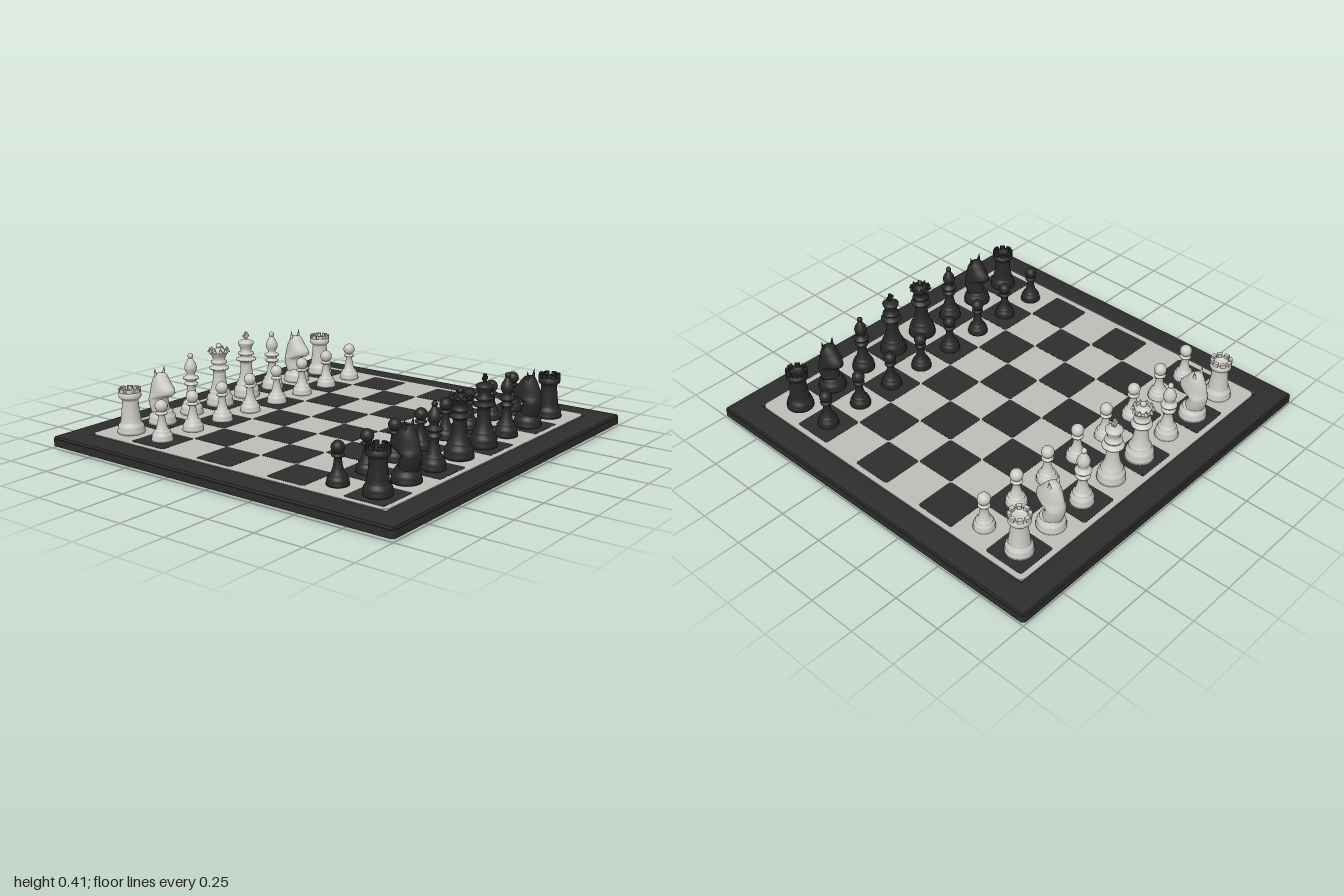
import * as THREE from 'three';

const mat = (name, color) => {
  const m = new THREE.MeshStandardMaterial({ color });
  m.name = name;
  return m;
};

const TOP = 0.062, PITCH = 0.2095;
const cell = i => (i - 3.5) * PITCH;

function mesh(name, geometry, material, x = 0, y = 0, z = 0) {
  const m = new THREE.Mesh(geometry, material);
  m.name = name;
  m.position.set(x, y, z);
  return m;
}

// Flat rounded square lying on the ground, extruded upwards
function slab(half, r, height) {
  const s = new THREE.Shape(), c = half - r;
  s.absarc(c, c, r, 0, Math.PI / 2);
  s.absarc(-c, c, r, Math.PI / 2, Math.PI);
  s.absarc(-c, -c, r, Math.PI, Math.PI * 1.5);
  s.absarc(c, -c, r, Math.PI * 1.5, Math.PI * 2);
  return new THREE.ExtrudeGeometry(s, { depth: height, bevelEnabled: false, curveSegments: 5 }).rotateX(-Math.PI / 2);
}

const turned = pts => new THREE.LatheGeometry(pts.map(p => new THREE.Vector2(p[0], p[1])), 28);

// Moulded foot shared by the pieces: r is its radius, h its height, neck the radius above
const foot = (r, h, neck) => [
  [0, 0], [r, 0], [r, h * 0.2], [r * 0.93, h * 0.3], [r * 0.96, h * 0.42], [r * 0.9, h * 0.6],
  [r * 0.74, h * 0.75], [r * 0.78, h * 0.83], [r * 0.72, h * 0.9], [neck, h]];

// Knight neck and head: lens-shaped sections [y, back z, front z, half width]
function knightBody() {
  const rows = [
    [0.04, -0.045, 0.045, 0.045], [0.06, -0.058, 0.045, 0.05], [0.09, -0.068, 0.032, 0.052],
    [0.12, -0.072, 0.026, 0.053], [0.135, -0.072, 0.035, 0.053], [0.145, -0.071, 0.07, 0.052],
    [0.16, -0.069, 0.087, 0.05], [0.18, -0.064, 0.082, 0.048], [0.2, -0.057, 0.062, 0.045],
    [0.22, -0.046, 0.046, 0.041], [0.24, -0.034, 0.032, 0.036], [0.25, -0.022, 0.02, 0.027],
    [0.254, -0.002, 0, 0.001]];
  const N = 24, pos = [], idx = [];
  rows.forEach(([y, b, f, w], i) => {
    for (let j = 0; j < N; j++) {
      const a = j / N * Math.PI * 2, s = Math.sin(a);
      pos.push(w * s * Math.abs(s) ** 0.4, y, (b + f) / 2 + (f - b) / 2 * Math.cos(a));
      if (i < rows.length - 1) {
        const k = (j + 1) % N, p = i * N + j, q = i * N + k;
        idx.push(p, q, q + N, p, q + N, p + N);
      }
    }
  });
  const g = new THREE.BufferGeometry();
  g.setAttribute('position', new THREE.Float32BufferAttribute(pos, 3));
  g.setIndex(idx);
  g.computeVertexNormals();
  return g;
}

// Arc-shaped battlement block
function merlon(inner, outer, angle, height) {
  const s = new THREE.Shape();
  s.absarc(0, 0, outer, -angle / 2, angle / 2, false);
  s.absarc(0, 0, inner, angle / 2, -angle / 2, true);
  return new THREE.ExtrudeGeometry(s, { depth: height, bevelEnabled: false, curveSegments: 4 }).rotateX(-Math.PI / 2);
}

// Each piece is a list of [part name, geometry], facing +z
function pieceParts() {
  const ball = (r, y) => new THREE.SphereGeometry(r, 18, 12).translate(0, y, 0);
  const parts = {};

  parts.pawn = [
    ['pawnBody', turned([...foot(0.052, 0.055, 0.03), [0.021, 0.085], [0.016, 0.122], [0.028, 0.128],
      [0.029, 0.134], [0.016, 0.142], [0, 0.145]])],
    ['pawnHead', ball(0.031, 0.167)]];

  parts.rook = [['rookBody', turned([...foot(0.067, 0.07, 0.049), [0.043, 0.11], [0.039, 0.16], [0.042, 0.168],
    [0.052, 0.176], [0.054, 0.182], [0.054, 0.204], [0.036, 0.204], [0.036, 0.19], [0, 0.19]])]];
  for (let i = 0; i < 8; i++)
    parts.rook.push(['battlement', merlon(0.036, 0.054, 0.52, 0.018).rotateY(i * Math.PI / 4).translate(0, 0.204, 0)]);

  parts.knight = [
    ['knightFoot', turned([...foot(0.07, 0.07, 0.045), [0, 0.072]])],
    ['knightHead', knightBody()]];
  for (const s of [-1, 1])
    parts.knight.push(['ear', new THREE.ConeGeometry(0.015, 0.07, 10).rotateZ(-s * 0.15).translate(s * 0.028, 0.25, -0.008)]);

  parts.bishop = [
    ['bishopBody', turned([...foot(0.058, 0.07, 0.034), [0.024, 0.11], [0.02, 0.145], [0.034, 0.15], [0.036, 0.157],
      [0.024, 0.165], [0.024, 0.172], [0.04, 0.182], [0.04, 0.189], [0.022, 0.198], [0.02, 0.208], [0.029, 0.225],
      [0.032, 0.24], [0.027, 0.258], [0.016, 0.276], [0.009, 0.289], [0, 0.291]])],
    ['finial', ball(0.014, 0.298)]];

  parts.queen = [
    ['queenBody', turned([...foot(0.071, 0.085, 0.046), [0.036, 0.12], [0.031, 0.17], [0.034, 0.185], [0.05, 0.192],
      [0.052, 0.199], [0.034, 0.208], [0.03, 0.216], [0.042, 0.224], [0.042, 0.231], [0.03, 0.24], [0.036, 0.258],
      [0.05, 0.28], [0.052, 0.287], [0.042, 0.287], [0.036, 0.28], [0.026, 0.297], [0, 0.306]])],
    ['finial', ball(0.015, 0.312)]];
  for (let i = 0; i < 10; i++) {
    const a = i / 10 * Math.PI * 2;
    parts.queen.push(['crownPoint', new THREE.ConeGeometry(0.011, 0.025, 8).translate(0.047 * Math.sin(a), 0.293, 0.047 * Math.cos(a))]);
  }

  parts.king = [
    ['kingBody', turned([...foot(0.069, 0.085, 0.045), [0.034, 0.12], [0.029, 0.175], [0.033, 0.19], [0.052, 0.198],
      [0.054, 0.205], [0.034, 0.213], [0.03, 0.222], [0.043, 0.23], [0.043, 0.237], [0.027, 0.245], [0.031, 0.265],
      [0.042, 0.288], [0.042, 0.294], [0.028, 0.303], [0.012, 0.309], [0, 0.31]])],
    ['crossUpright', new THREE.BoxGeometry(0.013, 0.045, 0.013).translate(0, 0.325, 0)],
    ['crossBar', new THREE.BoxGeometry(0.037, 0.013, 0.012).translate(0, 0.328, 0)]];
  return parts;
}

export function createModel() {
  const model = new THREE.Group();
  model.name = 'chessSet';
  const frameMat = mat('frame charcoal', 0x2d2d2d);
  const lightSquare = mat('light square', 0xbfbdb8);
  const darkSquare = mat('dark square', 0x2e2e2e);
  const ivory = mat('ivory piece', 0xcbc9c4);
  const ebony = mat('ebony piece', 0x272727);

  // Board: slab, mitred frame, feet
  const board = new THREE.Group();
  board.name = 'board';
  model.add(board);
  board.add(mesh('boardSlab', slab(1, 0.02, 0.036), frameMat, 0, 0.012, 0));
  const profile = [[0.995, 0.046], [0.99, 0.058], [0.93, 0.065], [0.875, 0.065], [0.86, 0.055]];
  const frame = new THREE.LatheGeometry(
    profile.map(([r, y]) => new THREE.Vector2(r * Math.SQRT2, y)), 4, Math.PI / 4).toNonIndexed();
  frame.computeVertexNormals();
  board.add(mesh('frame', frame, frameMat));
  const footGeo = new THREE.CylinderGeometry(0.035, 0.035, 0.014, 24);
  for (const x of [-1, 1]) for (const z of [-1, 1])
    board.add(mesh('boardFoot', footGeo, frameMat, x * 0.917, 0.007, z * 0.917));

  // Playing field with thin dark squares
  board.add(mesh('playingField', slab(0.866, 0.03, 0.018), lightSquare, 0, TOP - 0.016, 0));
  const square = slab(PITCH / 2, 0.012, 0.002);
  for (let r = 0; r < 8; r++) for (let c = 0; c < 8; c++)
    if ((r + c) % 2) board.add(mesh('darkSquare', square, darkSquare, cell(c), TOP + 0.001, cell(r)));

  // Two armies facing each other
  const parts = pieceParts();
  const order = ['rook', 'knight', 'bishop', 'queen', 'king', 'bishop', 'knight', 'rook'];
  const place = (kind, side, material, col, row) => {
    const g = new THREE.Group();
    g.name = side + kind[0].toUpperCase() + kind.slice(1);
    for (const [name, geo] of parts[kind]) g.add(mesh(name, geo, material));
    g.position.set(cell(col), TOP + 0.002, cell(row));
    if (side === 'dark') g.rotation.y = Math.PI;
    model.add(g);
  };
  order.forEach((kind, c) => {
    place(kind, 'light', ivory, c, 0);
    place('pawn', 'light', ivory, c, 1);
    place('pawn', 'dark', ebony, c, 6);
    place(kind, 'dark', ebony, c, 7);
  });
  return model;
}
